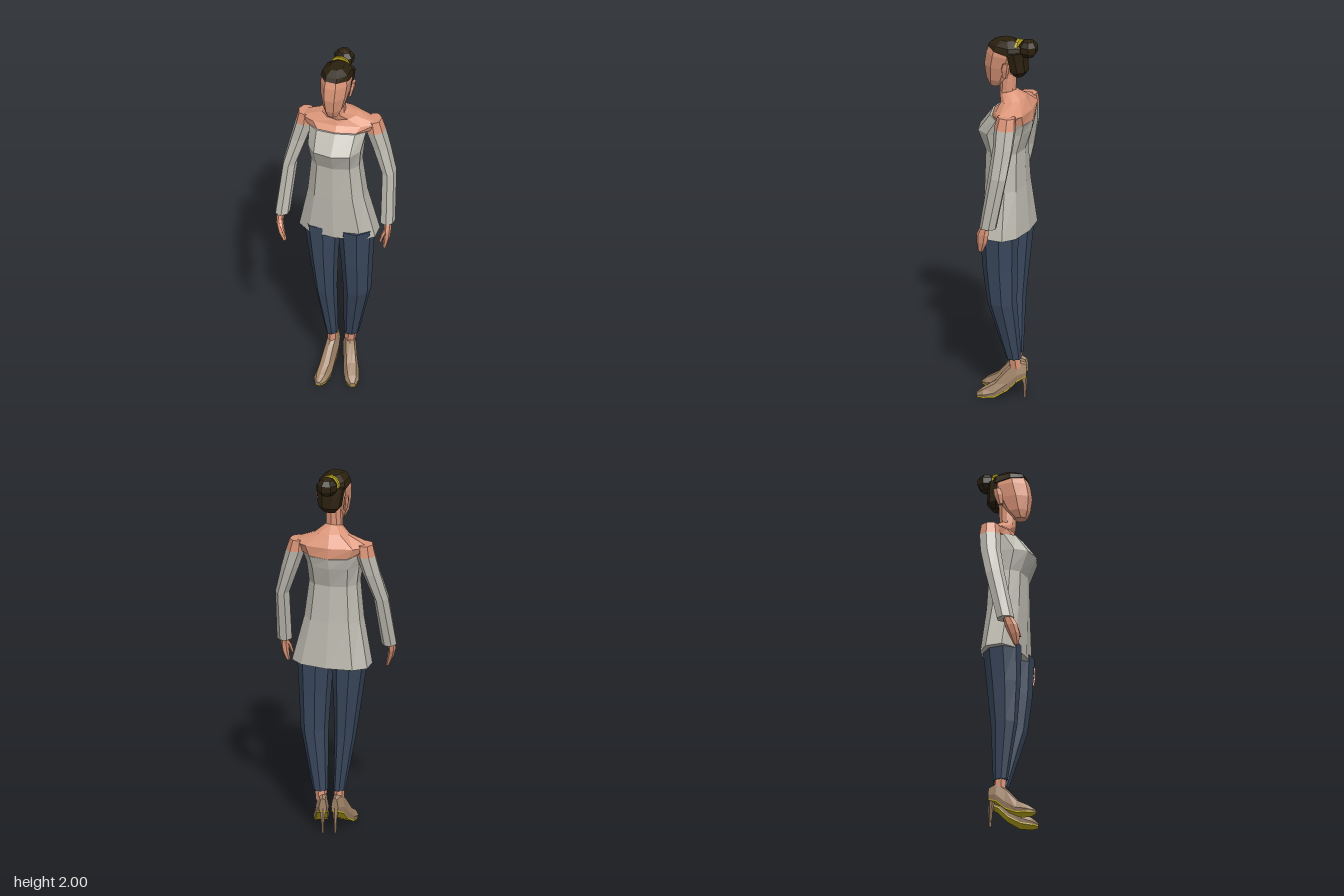
import * as THREE from 'three';

const paint = (name, color) => {
  const m = new THREE.MeshStandardMaterial({ color });
  m.name = name;
  return m;
};

// Closed skin over cross-section loops, faceted and always facing outward
function skinLoops(loops) {
  const tris = [], n = loops[0].length;
  const middle = (loop) => loop.reduce((s, p) => s.add(p), new THREE.Vector3()).divideScalar(n);
  for (let r = 0; r < loops.length - 1; r++) {
    const a = loops[r], b = loops[r + 1];
    for (let i = 0; i < n; i++) {
      const j = (i + 1) % n;
      tris.push([a[i], b[i], a[j]], [a[j], b[i], b[j]]);
    }
  }
  const first = loops[0], last = loops[loops.length - 1];
  const c0 = middle(first), c1 = middle(last);
  for (let i = 0; i < n; i++) {
    const j = (i + 1) % n;
    tris.push([c0, first[i], first[j]], [c1, last[j], last[i]]);
  }
  let volume = 0;
  for (const [a, b, c] of tris) volume += a.clone().cross(b).dot(c);
  if (volume < 0) tris.forEach((t) => t.reverse());
  const geo = new THREE.BufferGeometry().setFromPoints(tris.flat());
  geo.computeVertexNormals();
  return geo;
}

// Ring: [x, y, z, radiusX, radiusZ, yaw, rise toward the front]
function ringLoop([x, y, z, rx, rz, yaw = 0, rise = 0], n, power) {
  const bend = (v) => Math.sign(v) * Math.abs(v) ** power;
  return Array.from({ length: n }, (_, i) => {
    const a = ((i + 0.5) / n) * Math.PI * 2;
    const fit = 1 / Math.cos(Math.PI / n) ** power;
    const px = rx * bend(Math.cos(a)) * fit, pz = rz * bend(Math.sin(a)) * fit;
    return new THREE.Vector3(
      x + px * Math.cos(yaw) + pz * Math.sin(yaw),
      y + rise * pz,
      z - px * Math.sin(yaw) + pz * Math.cos(yaw));
  });
}
const loft = (rings, n = 8, power = 1) => skinLoops(rings.map((r) => ringLoop(r, n, power)));

export function createModel() {
  const skin = paint('skin', 0xdb9578);
  const sweater = paint('sweater grey', 0xbdbab0);
  const denim = paint('trouser navy', 0x39475c);
  const hair = paint('hair brown', 0x2b200f);
  const leather = paint('shoe tan', 0xa08367);
  const gold = paint('gold', 0xc2ae1c);

  const model = new THREE.Group();
  const add = (name, geo, mat, parent = model) => {
    const mesh = new THREE.Mesh(geo, mat);
    mesh.name = name;
    parent.add(mesh);
    return mesh;
  };
  const faceted = (geo) => {
    const g = geo.toNonIndexed();
    g.computeVertexNormals();
    return g;
  };

  // Torso, turned slightly so its left side sits further back
  const collar = [0, 1.57, -0.03, 0.15, 0.105, 0.15, 0.2];
  add('sweaterBody', loft([
    [0.007, 0.93, -0.015, 0.205, 0.108, 0.07],
    [0.002, 1.18, 0, 0.15, 0.1, 0.1],
    [0, 1.38, 0.005, 0.128, 0.096, 0.12],
    [0, 1.49, 0.012, 0.14, 0.136, 0.14],
    collar,
  ], 10, 0.8), sweater);

  // Bare shoulders and neck
  add('shouldersAndNeck', loft([
    [0, 1.57, -0.035, 0.165, 0.1, 0.15, 0.2],
    [-0.005, 1.612, -0.047, 0.205, 0.085, 0.15, 0.05],
    [0, 1.66, -0.035, 0.09, 0.062, 0.15, -0.2],
    [0, 1.695, -0.002, 0.042, 0.043, 0, -0.3],
    [0, 1.82, -0.005, 0.04, 0.045],
  ], 10), skin);

  // Arms: the right arm swings forward, the left hangs further back
  const arms = [
    { side: 'left',
      sleeve: [[0.268, 1.025, -0.025, 0.036, 0.042], [0.258, 1.31, -0.076, 0.033, 0.048],
        [0.213, 1.46, -0.083, 0.042, 0.05], [0.183, 1.56, -0.08, 0.046, 0.054]],
      cap: [[0.183, 1.56, -0.08, 0.046, 0.054], [0.172, 1.622, -0.082, 0.036, 0.045]],
      hand: [[0.268, 0.885, 0.02, 0.008, 0.012], [0.277, 0.94, 0.008, 0.013, 0.027],
        [0.28, 0.985, 0.002, 0.014, 0.03], [0.274, 1.04, -0.012, 0.016, 0.02]],
      thumb: [[0.25, 0.925, 0.036, 0.006, 0.006], [0.262, 0.965, 0.03, 0.008, 0.01],
        [0.275, 1.0, 0.01, 0.009, 0.012]] },
    { side: 'right',
      sleeve: [[-0.268, 1.03, 0.095, 0.036, 0.043], [-0.251, 1.31, 0.027, 0.034, 0.048],
        [-0.213, 1.46, -0.012, 0.042, 0.05], [-0.187, 1.56, -0.025, 0.046, 0.052]],
      cap: [[-0.187, 1.56, -0.025, 0.046, 0.052], [-0.182, 1.622, -0.027, 0.038, 0.043]],
      hand: [[-0.237, 0.885, 0.145, 0.008, 0.012], [-0.257, 0.94, 0.14, 0.013, 0.026],
        [-0.27, 0.985, 0.128, 0.014, 0.03], [-0.272, 1.045, 0.105, 0.016, 0.02]],
      thumb: [[-0.232, 0.93, 0.163, 0.006, 0.006], [-0.25, 0.97, 0.152, 0.008, 0.01],
        [-0.265, 1.005, 0.13, 0.009, 0.012]] },
  ];
  for (const a of arms) {
    const arm = new THREE.Group();
    arm.name = a.side + 'Arm';
    model.add(arm);
    add('sleeve', loft(a.sleeve, 7), sweater, arm);
    add('shoulderCap', loft(a.cap, 7), skin, arm);
    add('hand', loft(a.hand, 6), skin, arm);
    add('thumb', loft(a.thumb, 5), skin, arm);
  }

  // Shoe cross-sections: [distance from heel, bottom, top, half width]
  const stations = [[0, 0.125, 0.195, 0.02], [0.05, 0.1, 0.212, 0.035], [0.1, 0.05, 0.168, 0.036],
    [0.165, 0.014, 0.09, 0.041], [0.225, 0.008, 0.052, 0.036], [0.258, 0.008, 0.025, 0.016]];
  const shoeLoop = ([t, low, high, w]) => [[-w * 0.85, low], [-w, low + (high - low) * 0.3],
    [-w * 0.6, high - (high - low) * 0.1], [0, high], [w * 0.6, high - (high - low) * 0.1],
    [w, low + (high - low) * 0.3], [w * 0.85, low]].map(([x, y]) => new THREE.Vector3(x, y, t));
  const soleLoop = ([t, low, , w]) => [[-1, -0.006], [-1, 0.002], [1, 0.002], [1, -0.006]]
    .map(([s, d]) => new THREE.Vector3(s * w * 0.87, low + d, t));

  // Legs and high-heeled shoes
  const legs = [
    { side: 'left', heel: [0.018, -0.118], turn: 0.44,
      rings: [[0.054, 0.225, -0.063, 0.036, 0.038], [0.103, 0.55, -0.02, 0.066, 0.074],
        [0.105, 0.75, -0.008, 0.076, 0.086], [0.103, 0.97, -0.005, 0.09, 0.095]],
      ankle: [[0.045, 0.17, -0.068, 0.026, 0.03], [0.054, 0.25, -0.063, 0.026, 0.028]] },
    { side: 'right', heel: [-0.037, -0.09], turn: -0.03,
      rings: [[-0.039, 0.225, -0.028, 0.028, 0.036], [-0.061, 0.53, 0.002, 0.05, 0.066],
        [-0.073, 0.75, 0.004, 0.068, 0.083], [-0.084, 0.97, 0, 0.09, 0.095]],
      ankle: [[-0.039, 0.17, -0.033, 0.022, 0.03], [-0.039, 0.25, -0.028, 0.022, 0.027]] },
  ];
  for (const l of legs) {
    const leg = new THREE.Group();
    leg.name = l.side + 'Leg';
    model.add(leg);
    add('trouserLeg', loft(l.rings), denim, leg);
    add('ankle', loft(l.ankle, 6), skin, leg);
    const shoe = new THREE.Group();
    shoe.name = l.side + 'Shoe';
    shoe.position.set(l.heel[0], 0, l.heel[1]);
    shoe.rotation.y = l.turn;
    leg.add(shoe);
    add('upper', skinLoops(stations.map(shoeLoop)), leather, shoe);
    add('sole', skinLoops(stations.map(soleLoop)), gold, shoe);
    add('heel', loft([[0, 0, 0.008, 0.006, 0.006], [0, 0.07, 0.008, 0.008, 0.009],
      [0, 0.14, 0.02, 0.018, 0.02]], 6), leather, shoe);
  }

  // Head
  add('head', loft([
    [0, 1.715, 0.07, 0.03, 0.032], [0, 1.755, 0.05, 0.05, 0.066], [0, 1.83, 0.03, 0.066, 0.094],
    [0, 1.9, 0.012, 0.073, 0.1], [0, 1.945, 0.01, 0.066, 0.085],
  ]), skin);
  for (const s of [-1, 1]) {
    add(s > 0 ? 'leftEar' : 'rightEar', loft([
      [s * 0.066, 1.79, -0.015, 0.007, 0.012], [s * 0.076, 1.84, -0.022, 0.009, 0.02],
      [s * 0.08, 1.875, -0.03, 0.007, 0.016]], 5), skin);
  }

  // Hair swept back into a tied bun
  add('hairCap', loft([
    [0, 1.92, 0, 0.077, 0.102, 0, 0.18], [0, 1.955, 0, 0.069, 0.09, 0, 0.05],
    [0, 1.982, 0.005, 0.034, 0.045],
  ]), hair);
  add('backHair', loft([
    [0, 1.79, -0.068, 0.032, 0.02], [0, 1.82, -0.065, 0.058, 0.045], [0, 1.93, -0.05, 0.074, 0.05],
  ]), hair);
  const bun = add('bun', faceted(new THREE.SphereGeometry(1, 7, 5)), hair);
  bun.scale.set(0.057, 0.052, 0.052);
  bun.position.set(-0.006, 1.948, -0.117);
  const tie = add('hairTie', faceted(new THREE.CylinderGeometry(0.047, 0.05, 0.012, 10)), gold);
  tie.rotation.x = -Math.PI / 2 + 0.15;
  tie.position.set(-0.005, 1.944, -0.068);

  return model;
}
